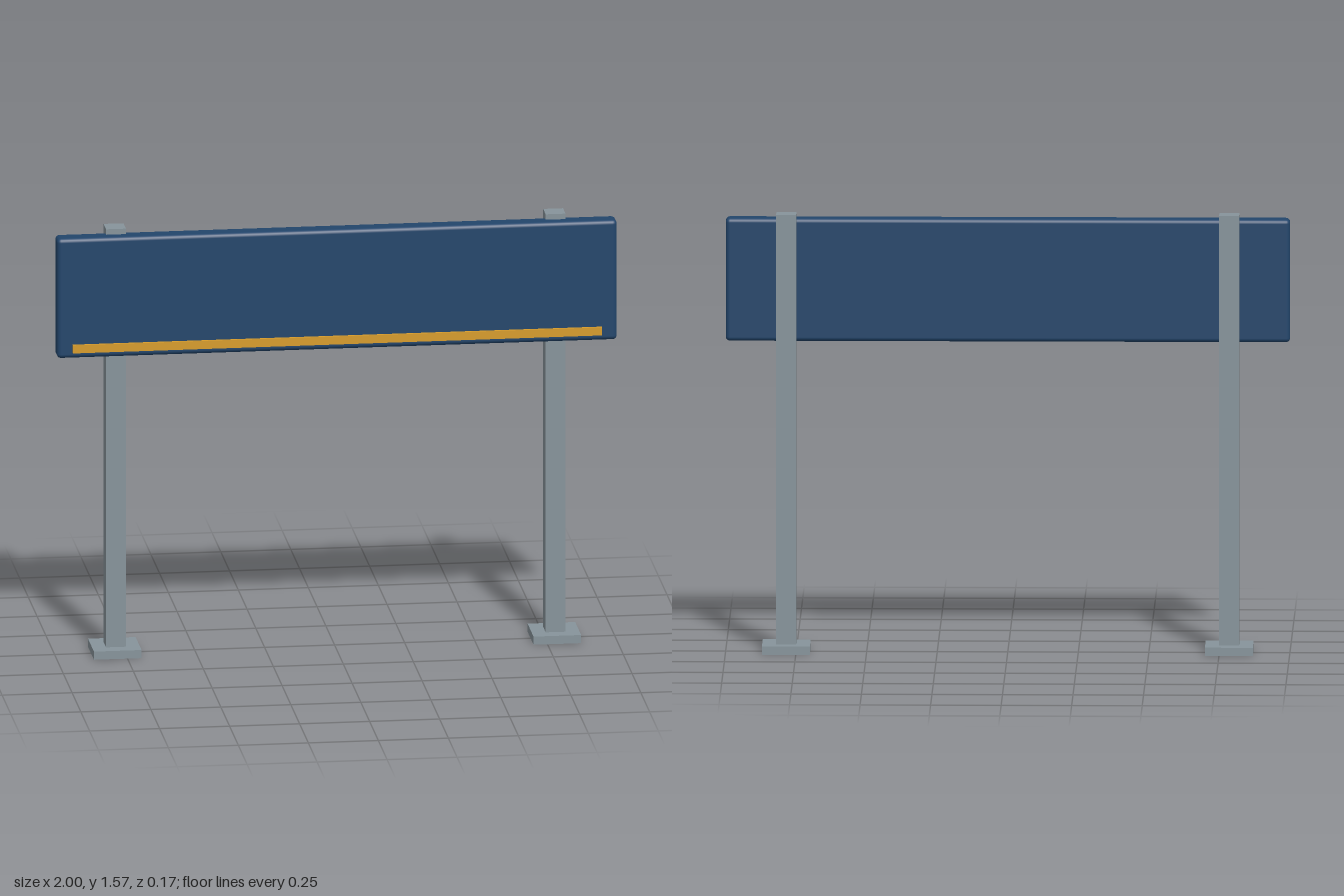
import * as THREE from 'three';
import { RoundedBoxGeometry } from 'three/addons/geometries/RoundedBoxGeometry.js';

export function createModel() {
  const group = new THREE.Group();
  const mat = (name, color) => {
    const m = new THREE.MeshStandardMaterial({ color });
    m.name = name;
    return m;
  };
  const steel = mat('steel grey', 0x87949b);
  const navy = mat('navy blue', 0x22456b);
  const gold = mat('gold', 0xd89c2a);

  const add = (name, geometry, material, x, y, z) => {
    const mesh = new THREE.Mesh(geometry, material);
    mesh.name = name;
    mesh.position.set(x, y, z);
    group.add(mesh);
  };

  // Sign board with softly rounded edges
  add('signPanel', new RoundedBoxGeometry(2, 0.44, 0.071, 3, 0.015), navy, 0, 1.33, 0.0405);

  // Thin accent stripe along the bottom of the board
  add('accentStripe', new THREE.BoxGeometry(1.89, 0.03, 0.0095), gold, 0, 1.146, 0.0805);

  // Square posts standing on foot plates
  for (const [side, x] of [['left', 0.785], ['right', -0.785]]) {
    add(side + 'Post', new THREE.BoxGeometry(0.071, 1.54, 0.071), steel, x, 0.80, 0);
    add(side + 'FootPlate', new THREE.BoxGeometry(0.17, 0.03, 0.17), steel, x, 0.015, 0);
  }
  return group;
}
